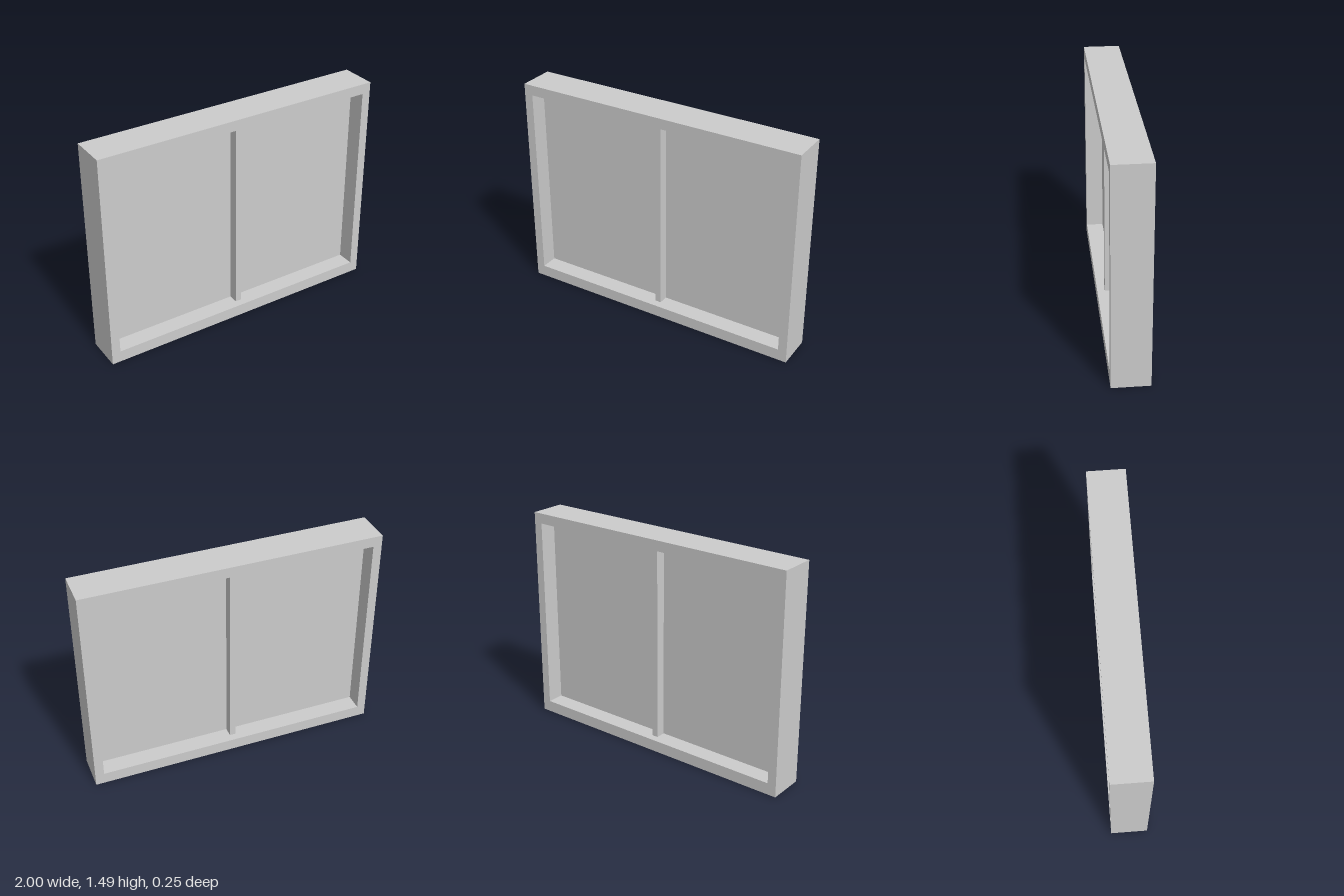
import * as THREE from 'three';

const WIDTH = 2, HEIGHT = 1.49, DEPTH = 0.25;
const LEFT = -0.94, RIGHT = 0.94, BOTTOM = 0.08, TOP = 1.42;

export function createModel() {
  const group = new THREE.Group();
  const material = new THREE.MeshStandardMaterial({ color: 0xcccccc });

  const add = (name, geometry, x = 0, y = 0, z = 0) => {
    const mesh = new THREE.Mesh(geometry, material);
    mesh.name = name;
    mesh.position.set(x, y, z);
    group.add(mesh);
  };

  // Outer frame: rectangle with a rectangular opening
  const outline = new THREE.Shape([
    new THREE.Vector2(-WIDTH / 2, 0),
    new THREE.Vector2(WIDTH / 2, 0),
    new THREE.Vector2(WIDTH / 2, HEIGHT),
    new THREE.Vector2(-WIDTH / 2, HEIGHT),
  ]);
  outline.holes.push(new THREE.Path([
    new THREE.Vector2(LEFT, BOTTOM),
    new THREE.Vector2(LEFT, TOP),
    new THREE.Vector2(RIGHT, TOP),
    new THREE.Vector2(RIGHT, BOTTOM),
  ]));
  add('frame', new THREE.ExtrudeGeometry(outline, { depth: DEPTH, bevelEnabled: false }), 0, 0, -DEPTH / 2);

  const openingHeight = TOP - BOTTOM;
  const middle = (TOP + BOTTOM) / 2;

  // Thin pane in the middle of the frame depth
  add('pane', new THREE.BoxGeometry(RIGHT - LEFT, openingHeight, 0.01), 0, middle);

  // Central upright bar, standing proud of the pane on both sides
  add('centreBar', new THREE.BoxGeometry(0.043, openingHeight, 0.145), 0, middle);

  return group;
}
